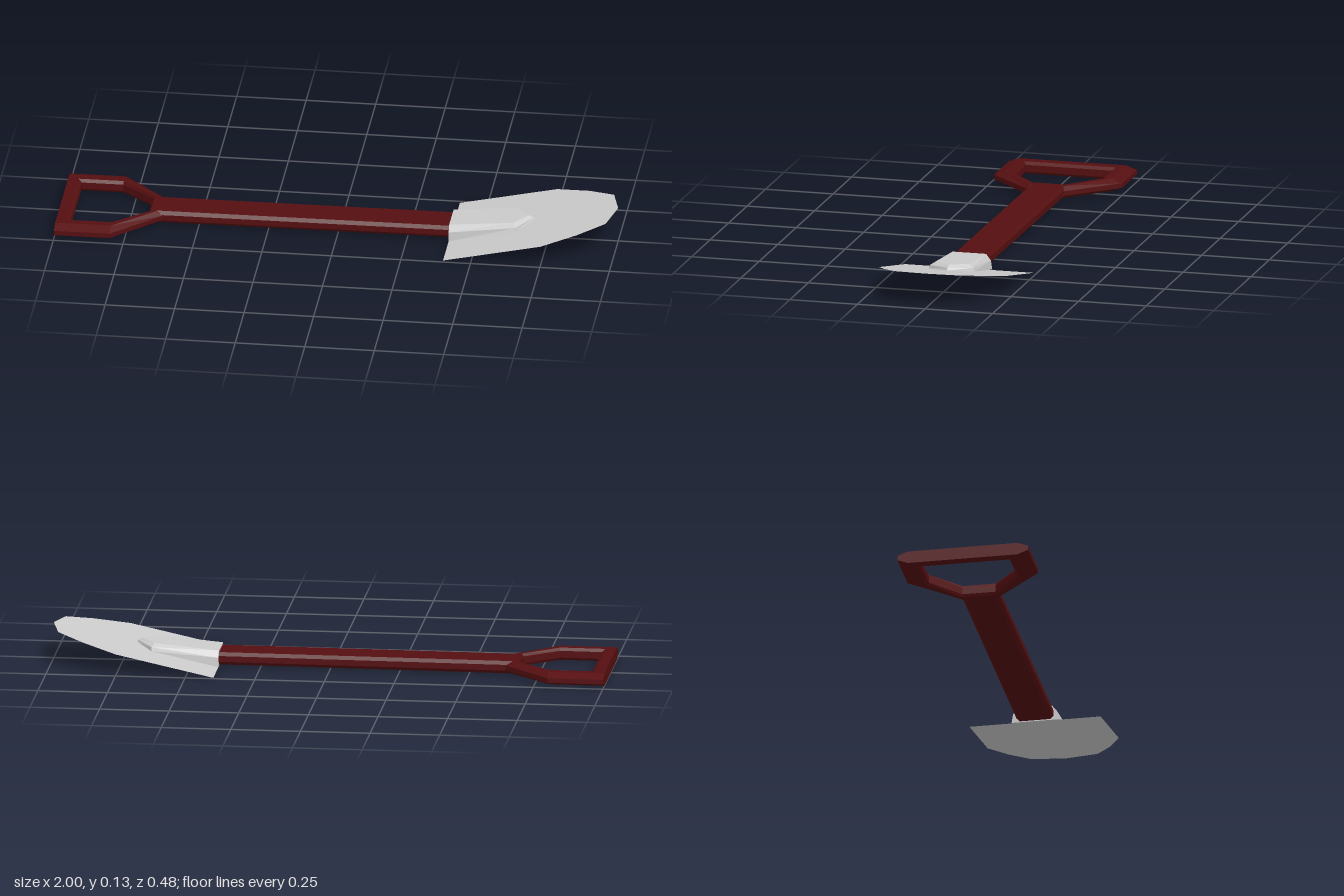
import * as THREE from 'three';

const metal = new THREE.MeshStandardMaterial({ color: 0xcccccc, flatShading: true, side: THREE.DoubleSide });
const wood = new THREE.MeshStandardMaterial({ color: 0x560f11, flatShading: true });

// Skin between rings of [x, y, z] points; rings run counter-clockwise seen along the loft direction
function loft(rings, closed) {
  const pos = [];
  const n = rings[0].length;
  const tri = (...pts) => pts.forEach((p) => pos.push(...p));
  const spans = closed ? rings.length : rings.length - 1;
  for (let i = 0; i < spans; i++) {
    const r = rings[i], s = rings[(i + 1) % rings.length];
    for (let j = 0; j < n; j++) {
      const k = (j + 1) % n;
      tri(r[j], s[j], r[k]);
      tri(r[k], s[j], s[k]);
    }
  }
  if (!closed) {
    const first = rings[0], last = rings[rings.length - 1];
    for (let j = 1; j < n - 1; j++) {
      tri(first[0], first[j], first[j + 1]);
      tri(last[0], last[j + 1], last[j]);
    }
  }
  const g = new THREE.BufferGeometry();
  g.setAttribute('position', new THREE.Float32BufferAttribute(pos, 3));
  g.computeVertexNormals();
  return g;
}

const bladeY = (x) => 0.217 * (x - 0.4);
const handleY = (x, y) => y + 0.004 * (x + 1); // handle rises slightly toward the blade

export function createModel() {
  const group = new THREE.Group();
  const add = (name, geometry, material) => {
    const mesh = new THREE.Mesh(geometry, material);
    mesh.name = name;
    group.add(mesh);
  };

  // D-shaped grip: bevelled bar swept around six mitred corners
  const half = [
    { inner: [-0.95, 0.16], outer: [-1, 0.237], squareEnd: true },
    { inner: [-0.8, 0.16], outer: [-0.8, 0.237] },
    { inner: [-0.68, 0.06], outer: [-0.63, 0.067] },
  ];
  const mirrored = half.map((c) => ({
    ...c, inner: [c.inner[0], -c.inner[1]], outer: [c.outer[0], -c.outer[1]],
  })).reverse();
  const barSection = [[0, 0.01], [0.12, 0], [0.5, 0], [1, 0.014], [1, 0.031], [0.5, 0.045], [0.12, 0.045], [0, 0.035]];
  const corners = [...half, ...mirrored].map(({ inner, outer, squareEnd }) =>
    barSection.map(([t, y]) => {
      const tx = squareEnd ? Math.min(1, 2 * t) : t;
      const x = THREE.MathUtils.lerp(inner[0], outer[0], tx);
      return [x, handleY(x, y), THREE.MathUtils.lerp(inner[1], outer[1], t)];
    }));
  add('grip', loft(corners, true), wood);

  // Flat shaft with chamfered edges
  const shaftSection = [[-0.056, 0], [0.056, 0], [0.067, 0.012], [0.067, 0.033],
    [0.056, 0.045], [-0.056, 0.045], [-0.067, 0.033], [-0.067, 0.012]];
  add('shaft', loft([-0.66, 0.42].map((x) =>
    shaftSection.map(([z, y]) => [x, handleY(x, y), z]))), wood);

  // Pointed socket joining the shaft to the blade: base, shoulder and top outlines
  const layers = [
    { w: 0.085, side: 0.64, tip: 0.7, y0: 0.002, y1: bladeY(0.7) + 0.002 },
    { w: 0.08, side: 0.64, tip: 0.695, y0: 0.035, y1: 0.075 },
    { w: 0.062, side: 0.63, tip: 0.68, y0: 0.058, y1: 0.083 },
  ];
  add('socket', loft(layers.map(({ w, side, tip, y0, y1 }) =>
    [[0.4, -w], [side, -w], [tip, 0], [side, w], [0.4, w]].map(([x, z]) =>
      [x, THREE.MathUtils.mapLinear(x, 0.4, tip, y0, y1), z]))), metal);

  // Thin blade, sloping up to a rounded point
  const edge = [[0.4, 0.238], [0.75, 0.238], [0.875, 0.183], [0.97, 0.12], [1, 0]];
  const outline = [...edge.slice(0, -1).map(([x, z]) => [x, -z]), ...[...edge].reverse()];
  const blade = new THREE.ShapeGeometry(new THREE.Shape(outline.map(([x, z]) => new THREE.Vector2(x, z))));
  blade.rotateX(-Math.PI / 2);
  const p = blade.attributes.position;
  for (let i = 0; i < p.count; i++) p.setY(i, bladeY(p.getX(i)));
  blade.computeVertexNormals();
  add('blade', blade, metal);

  return group;
}
